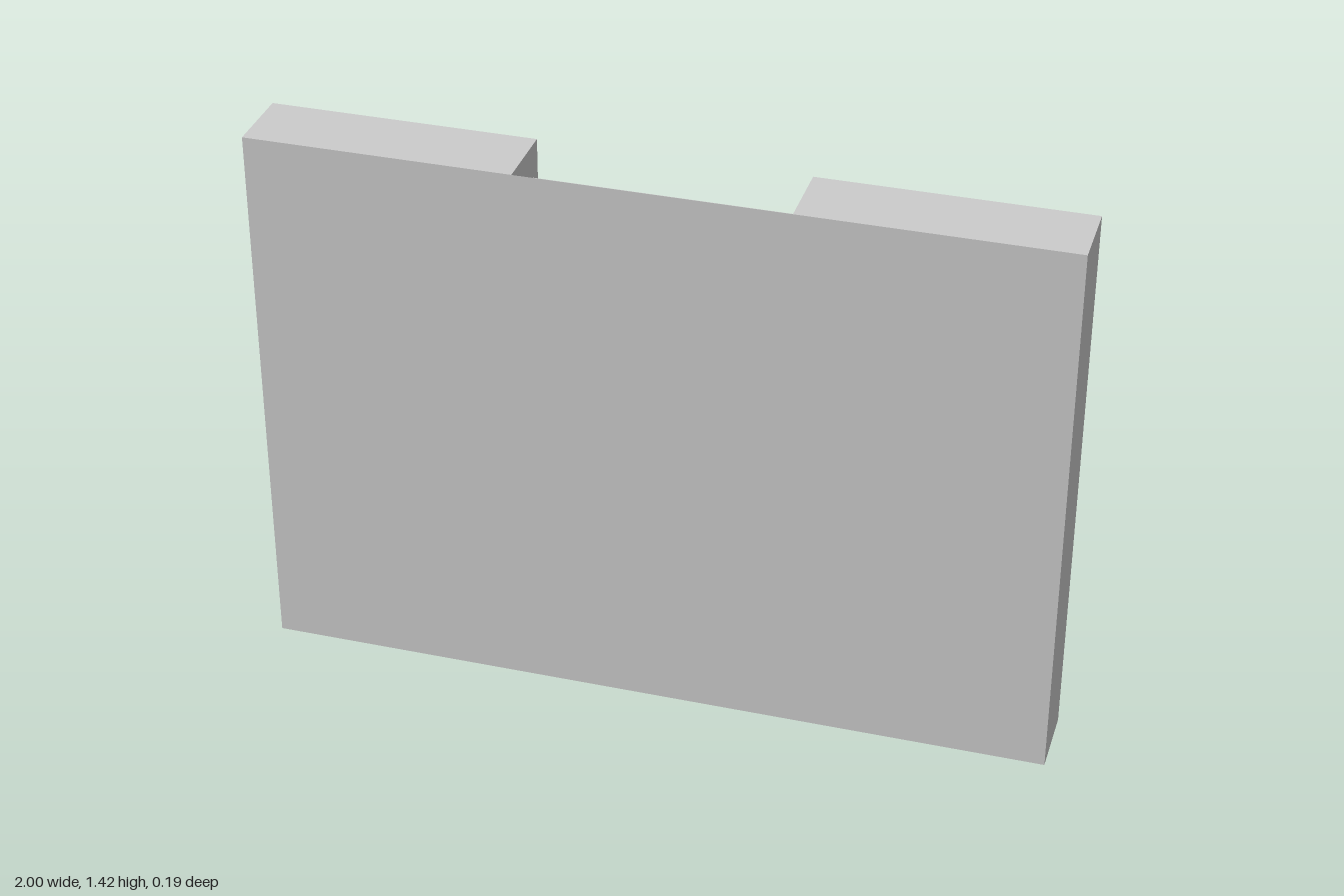
import * as THREE from 'three';

const W = 2, H = 1.424, D = 0.187;
const INNER = W / 6;          // half width of the gap between the upper blocks
const LEG = W / 3;            // inner face of the legs
const LEDGE = H * 2 / 3;      // underside of the upper blocks

export function createModel() {
  const group = new THREE.Group();
  const mat = new THREE.MeshStandardMaterial({ color: 0xcccccc, flatShading: true });
  const sheetMat = new THREE.MeshStandardMaterial({ color: 0xcccccc, side: THREE.DoubleSide });

  const add = (name, geometry, material = mat) => {
    const mesh = new THREE.Mesh(geometry, material);
    mesh.name = name;
    group.add(mesh);
    return mesh;
  };
  const outline = (points) => new THREE.Shape(points.map(([x, y]) => new THREE.Vector2(x, y)));

  // Side piers: a leg with a wider block on top
  for (const [name, s] of [['leftPier', 1], ['rightPier', -1]]) {
    const shape = outline([
      [s * LEG, 0], [s, 0], [s, H], [s * INNER, H], [s * INNER, LEDGE], [s * LEG, LEDGE],
    ]);
    add(name, new THREE.ExtrudeGeometry(shape, { depth: D, bevelEnabled: false })).position.z = -D / 2;
  }

  // Thin front sheet closing the opening between the piers
  const sheet = outline([
    [-LEG, 0], [LEG, 0], [LEG, LEDGE], [INNER, LEDGE],
    [INNER, H], [-INNER, H], [-INNER, LEDGE], [-LEG, LEDGE],
  ]);
  add('frontPanel', new THREE.ShapeGeometry(sheet), sheetMat).position.z = D / 2;

  // Three shelves spanning the gap between the upper blocks
  for (let i = 0; i < 3; i++) {
    add('shelf' + (i + 1), new THREE.BoxGeometry(2 * INNER, 0.014, 0.14))
      .position.set(0, H - 0.092 - i * 0.123, 0.01);
  }
  return group;
}
